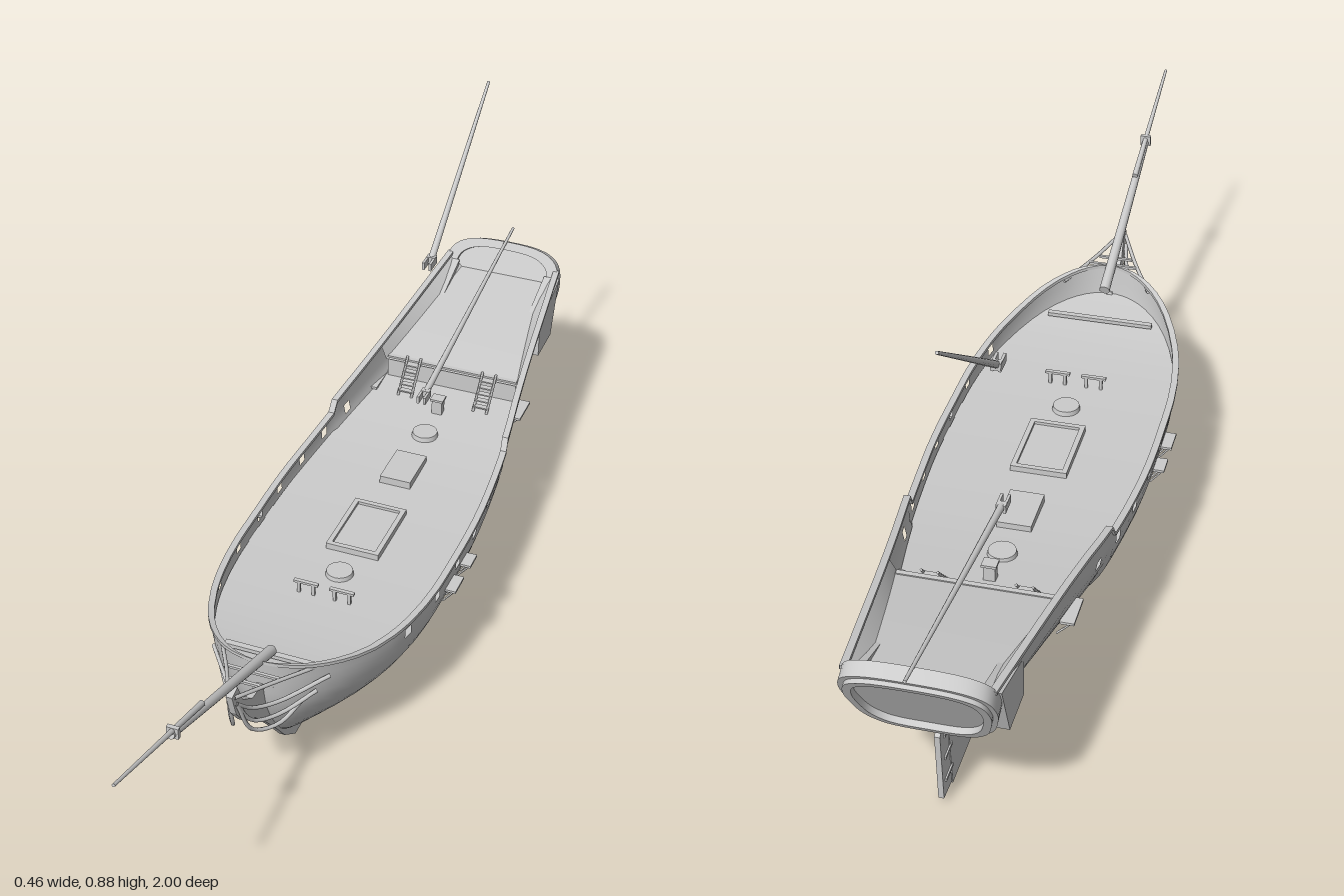
import * as THREE from 'three';
import { toCreasedNormals } from 'three/addons/utils/BufferGeometryUtils.js';

const V = (x, y, z) => new THREE.Vector3(x, y, z);
const mat = new THREE.MeshStandardMaterial({ color: 0xcccccc, side: THREE.DoubleSide });

// Smooth curve through [key, value] pairs, keys ascending
function curve(pts) {
  const slope = i => {
    const a = pts[Math.max(0, i - 1)], b = pts[Math.min(pts.length - 1, i + 1)];
    return (b[1] - a[1]) / (b[0] - a[0]);
  };
  return k => {
    if (k <= pts[0][0]) return pts[0][1];
    if (k >= pts.at(-1)[0]) return pts.at(-1)[1];
    let i = 0;
    while (k > pts[i + 1][0]) i++;
    const [k0, v0] = pts[i], [k1, v1] = pts[i + 1], h = k1 - k0, t = (k - k0) / h;
    return v0 + (v1 - v0) * t * t * (3 - 2 * t)
      + h * t * (1 - t) * ((1 - t) * slope(i) - t * slope(i + 1));
  };
}

// Hull lines along z: sheer, underside, fullness and half breadth
const sheer = curve([[-0.88, 0.348], [-0.6, 0.3], [-0.36, 0.263], [-0.15, 0.252], [0.1, 0.252], [0.29, 0.265], [0.4, 0.29], [0.45, 0.305]]);
const bottom = curve([[-0.86, 0.212], [-0.8, 0.18], [-0.7, 0.125], [-0.6, 0.08], [-0.45, 0.042], [-0.25, 0.022], [0, 0.02], [0.45, 0.02]]);
const power = curve([[-0.86, 0.5], [-0.6, 0.75], [-0.35, 0.68], [-0.1, 0.57], [0.15, 0.6], [0.45, 0.9]]);
const aftBreadth = curve([[-0.86, 0.125], [-0.75, 0.14], [-0.6, 0.16], [-0.38, 0.191], [-0.2, 0.207], [-0.1, 0.21], [0, 0.209]]);
const stem = curve([[0.02, 0.28], [0.06, 0.35], [0.1, 0.385], [0.15, 0.415], [0.2, 0.435], [0.3, 0.45]]);
const breadth = z => z > 0 ? 0.209 * Math.sqrt(Math.max(0, 1 - (z / 0.45) ** 2.3)) : aftBreadth(z);
const railY = z => sheer(z) + (z < -0.38 ? 0.022 : 0);
const portY = z => 0.222 + 0.6 * (sheer(z) - 0.252);
const deckY = z => portY(z) - 0.008;
const quarterY = z => 0.29 + (-0.6 - z) * 0.2;

// Point on the hull skin for a station z and height y; ends follow the stem and stern rake
function skin(z, y, side = 1) {
  const yk = bottom(z), s = THREE.MathUtils.clamp((y - yk) / (railY(z) - yk), 0, 1);
  const x = breadth(z) * Math.sin(Math.min(1, s * 1.08) * Math.PI / 2) ** power(z);
  let zz = z;
  if (z > 0.1) zz = 0.1 + (z - 0.1) * (stem(y) - 0.1) / 0.35;
  if (z < -0.5) zz -= (-0.5 - z) / 0.36 * (y - 0.22) * 0.53;
  return V(side * x, y, zz);
}

// Surface from a grid of points; skip(i, j) leaves an opening
function grid(nu, nv, point, skip = () => false) {
  const pos = [], idx = [];
  for (let i = 0; i < nu; i++) for (let j = 0; j < nv; j++) {
    pos.push(...point(i, j).toArray());
    if (i < nu - 1 && j < nv - 1 && !skip(i, j)) {
      const a = i * nv + j, b = a + nv;
      idx.push(a, a + 1, b, b, a + 1, b + 1);
    }
  }
  const g = new THREE.BufferGeometry();
  g.setAttribute('position', new THREE.Float32BufferAttribute(pos, 3));
  g.setIndex(idx);
  g.computeVertexNormals();
  return g;
}

export function createModel() {
  const ship = new THREE.Group();
  ship.name = 'sailingShipHull';
  const add = (name, geo, x = 0, y = 0, z = 0) => {
    const m = new THREE.Mesh(geo, mat);
    m.name = name;
    m.position.set(x, y, z);
    ship.add(m);
    return m;
  };
  const box = (name, w, h, d, x, y, z) => add(name, new THREE.BoxGeometry(w, h, d), x, y, z);
  const spar = (name, a, b, ra, rb, sides = 10) => {
    const m = add(name, new THREE.CylinderGeometry(rb, ra, a.distanceTo(b), sides));
    m.position.copy(a).lerp(b, 0.5);
    m.quaternion.setFromUnitVectors(V(0, 1, 0), b.clone().sub(a).normalize());
    return m;
  };
  const tube = (name, pts, r) => add(name, new THREE.TubeGeometry(new THREE.CatmullRomCurve3(pts), 16, r, 6));
  // Plate drawn in [z, y], centred on x
  const plate = (name, pts, t, x = 0) => {
    const g = new THREE.ExtrudeGeometry(new THREE.Shape(pts.map(p => new THREE.Vector2(-p[0], p[1]))), { depth: t, bevelEnabled: false });
    g.translate(0, 0, -t / 2).rotateY(Math.PI / 2);
    return add(name, g, x);
  };

  // Stations, with a pair at the edges of each gun port
  const ports = [0.195, 0.07, -0.04, -0.14, -0.245, -0.345, -0.44];
  const st = [0.45, 0.449, 0.445, 0.438, 0.428, 0.415, 0.395, 0.37, 0.34, 0.3, 0.25, 0.225, -0.375, -0.39];
  ports.forEach((p, i) => {
    st.push(p + 0.01, p - 0.01);
    if (i < 5) st.push((p + ports[i + 1]) / 2);
  });
  for (let z = -0.5; z > -0.87; z -= 0.04) st.push(z);
  st.sort((a, b) => b - a);
  const isPort = i => ports.some(p => Math.abs(st[i] - p - 0.01) < 1e-6);
  const rows = 16;
  const rowY = (z, j) => j < rows - 2
    ? THREE.MathUtils.lerp(bottom(z), portY(z), (j / (rows - 3)) ** 1.5)
    : j === rows - 2 ? portY(z) + 0.02 : railY(z);

  // Hull sides with gun ports, and rail caps
  const lip = [[-0.008, -0.002], [0.005, -0.002], [0.005, 0.005], [-0.008, 0.005], [-0.008, -0.002]];
  for (const side of [1, -1]) {
    add('hullSide', grid(st.length, rows, (i, j) => skin(st[i], rowY(st[i], j), side), (i, j) => j === rows - 3 && isPort(i)));
    const rail = grid(st.length, 5, (i, j) => {
      const p = skin(st[i], railY(st[i]), 1);
      return V(side * Math.max(0, p.x + lip[j][0]), p.y + lip[j][1], p.z);
    });
    add('railCap', toCreasedNormals(rail, 0.6));
  }

  // Main deck, raised quarterdeck and its sloping inner bulwarks
  const main = st.filter(z => z > -0.63), aft = st.filter(z => z < -0.57);
  add('mainDeck', grid(main.length, 3, (i, j) => {
    const p = skin(main[i], deckY(main[i]));
    p.x *= (j - 1) * 0.99;
    return p;
  }));
  const inner = (z, side) => {
    const p = skin(z, quarterY(z), side);
    p.x *= 0.9 - 0.55 * (-0.6 - z);
    return p;
  };
  add('quarterDeck', grid(aft.length, 2, (i, j) => inner(aft[i], j ? 1 : -1)));
  for (const side of [1, -1]) add('innerBulwark', grid(aft.length, 2, (i, j) =>
    j ? skin(aft[i], railY(aft[i]), side) : inner(aft[i], side)));
  box('quarterDeckBulkhead', 0.29, 0.058, 0.01, 0, 0.262, -0.598);
  box('foredeckBeam', 0.22, 0.008, 0.012, 0, 0.238, 0.35);

  // Keel with deadwood and cutwater, then the rudder
  plate('keelAndCutwater', [[0.3, 0.006], [0.35, 0.045], [0.385, 0.09], [0.43, 0.145], [0.48, 0.2], [0.53, 0.235], [0.56, 0.275],
    [0.575, 0.325], [0.55, 0.33], [0.53, 0.285], [0.49, 0.255], [0.44, 0.25], [0.4, 0.15], [0.28, 0.035], [0, 0.03], [-0.4, 0.04],
    [-0.6, 0.09], [-0.72, 0.145], [-0.81, 0.2], [-0.79, 0.006]], 0.012);
  plate('rudder', [[-0.793, 0.012], [-0.84, 0.016], [-0.85, 0.165], [-0.832, 0.18], [-0.835, 0.23], [-0.812, 0.23]], 0.01);
  for (const y of [0.05, 0.1, 0.15]) box('rudderHinge', 0.016, 0.006, 0.04, 0, y, -0.81);

  // Raked transom: stepped rounded frame around a flat panel
  const outline = k => {
    const pts = [[0, 0], [0.075, 0.006], [0.108, 0.035], [0.124, 0.085], [0.129, 0.13], [0.118, 0.172], [0.085, 0.194], [0, 0.202]]
      .map(([x, y]) => [x * k, 0.1 + (y - 0.1) * k]);
    const all = [...pts, ...pts.slice(1, -1).reverse().map(([x, y]) => [-x, y])];
    return new THREE.CatmullRomCurve3(all.map(p => V(p[0], p[1], 0)), true).getPoints(56).slice(0, -1).map(p => new THREE.Vector2(p.x, p.y));
  };
  const transom = new THREE.Group();
  transom.name = 'transom';
  transom.position.set(0, 0.222, -0.872);
  transom.rotation.x = -0.486;
  for (const [name, k, hole, z, d] of [['outerFrame', 1.02, 0.9, -0.012, 0.028], ['innerFrame', 0.95, 0.84, -0.02, 0.036], ['sternPanel', 0.9, 0, -0.008, 0.014]]) {
    const shape = new THREE.Shape(outline(k));
    if (hole) shape.holes.push(new THREE.Path(outline(hole)));
    const m = new THREE.Mesh(toCreasedNormals(new THREE.ExtrudeGeometry(shape, { depth: d, bevelEnabled: false }), 0.6), mat);
    m.name = name;
    m.position.z = z;
    transom.add(m);
  }
  ship.add(transom);

  for (const s of [1, -1]) {
    // Quarter galleries
    plate('quarterGallery', [[-0.79, 0.238], [-0.79, 0.316], [-0.925, 0.358], [-0.88, 0.24]], 0.035, s * 0.117);
    // Shroud channels with small brackets
    for (const [z, len, y] of [[0, 0.05, 0.21], [-0.08, 0.04, 0.21], [-0.57, 0.07, 0.24]]) {
      const x = skin(z, y).x;
      box('channel', 0.026, 0.005, len, s * (x + 0.008), y, z);
      for (const k of [-0.4, 0, 0.4])
        spar('channelBracket', V(s * (x + 0.018), y, z + k * len), V(s * (skin(z, y - 0.03).x + 0.001), y - 0.03, z + k * len), 0.002, 0.002, 5);
    }
    // Head rails sweeping from the bow to the stem head
    tube('upperHeadRail', [V(s * 0.09, 0.285, 0.405), V(s * 0.045, 0.3, 0.485), V(s * 0.006, 0.318, 0.565)], 0.004);
    for (const [x, y, z] of [[0.115, 0.262, 0.39], [0.095, 0.232, 0.405], [0.07, 0.21, 0.42]])
      tube('lowerHeadRail', [V(s * 0.008, 0.3, 0.56), V(s * 0.02, y, 0.52), V(s * 0.05, y - 0.016, 0.47), V(s * x, y, z)], 0.004);
    // Ladders to the quarterdeck
    for (const k of [-1, 1]) spar('ladderSide', V(s * 0.085 + k * 0.015, 0.235, -0.535), V(s * 0.085 + k * 0.015, 0.3, -0.595), 0.003, 0.003, 4);
    for (let i = 1; i < 6; i++) box('ladderStep', 0.03, 0.003, 0.012, s * 0.085, 0.235 + i * 0.01, -0.535 - i * 0.01);
    // Pin rails
    box('pinRail', 0.05, 0.005, 0.008, s * 0.037, 0.24, 0.135);
    for (const k of [-0.015, 0.015]) box('pinRailPost', 0.006, 0.028, 0.006, s * 0.037 + k, 0.226, 0.135);
  }
  for (const [z, w] of [[0.47, 0.1], [0.5, 0.07]]) box('headBeam', w, 0.005, 0.006, 0, 0.298, z);

  // Deck fittings
  box('hatchCover', 0.09, 0.008, 0.14, 0, 0.216, -0.09);
  for (const s of [1, -1]) {
    box('hatchCoamingSide', 0.01, 0.016, 0.16, s * 0.05, 0.218, -0.09);
    box('hatchCoamingEnd', 0.11, 0.016, 0.01, 0, 0.218, -0.09 + s * 0.075);
  }
  box('companionHatch', 0.066, 0.018, 0.1, 0, 0.223, -0.3);
  for (const z of [0.055, -0.43]) add('mastCollar', new THREE.CylinderGeometry(0.026, 0.028, 0.01, 20), 0, deckY(z) + 0.004, z);
  box('binnacle', 0.022, 0.035, 0.018, 0, 0.248, -0.51);
  box('binnacleTop', 0.028, 0.005, 0.024, 0, 0.267, -0.51);

  // Bowsprit with jib boom, and the boom and gaff with their jaws
  spar('bowsprit', V(0, 0.285, 0.39), V(0, 0.43, 0.8), 0.011, 0.007);
  spar('jibBoom', V(0, 0.4, 0.68), V(0, 0.498, 1), 0.006, 0.003);
  box('bowspritCap', 0.022, 0.022, 0.008, 0, 0.43, 0.79);
  for (const [name, a, b] of [['boom', V(0, 0.334, -0.43), V(0, 0.42, -1)], ['gaff', V(0, 0.647, -0.445), V(0, 0.885, -0.775)]]) {
    spar(name, a, b, 0.007, 0.003);
    const dz = a.z + 0.012;
    for (const s of [1, -1]) box(name + 'Jaw', 0.005, 0.016, 0.036, s * 0.007, a.y - 0.003, dz);
    box(name + 'JawBlock', 0.018, 0.014, 0.014, 0, a.y - 0.001, dz - 0.012);
  }
  return ship;
}
